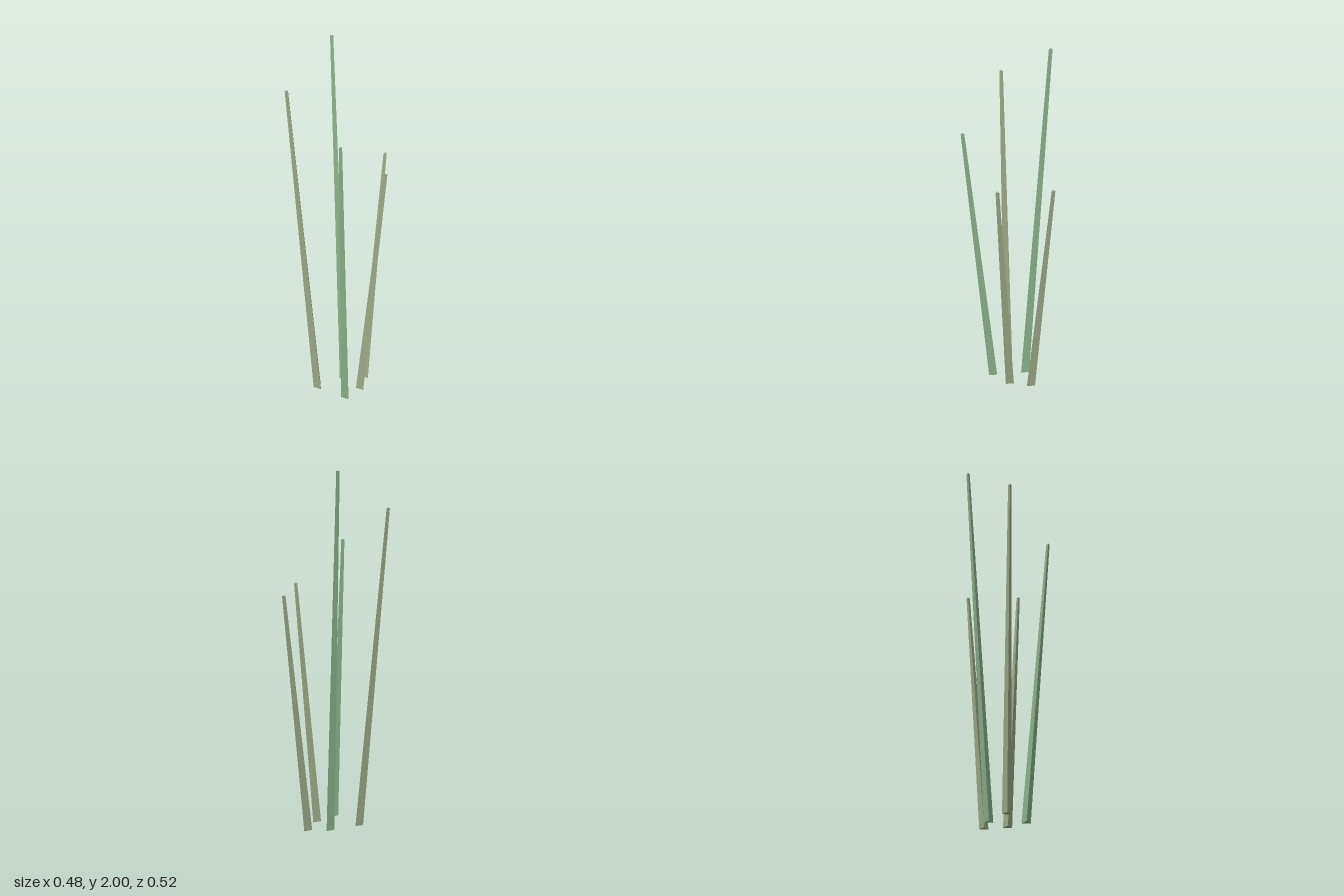
import * as THREE from 'three';

const BASE_RADIUS = 0.027;
const TIP_RADIUS = 0.0108;

const green = new THREE.MeshStandardMaterial({ color: 0x8bb08a, flatShading: true });
const olive = new THREE.MeshStandardMaterial({ color: 0x9ba887, flatShading: true });

// Tapered three-sided blade, sheared so both ends stay level while it leans outward
function makeBlade(name, material, height, [x0, z0], [x1, z1]) {
  const geometry = new THREE.CylinderGeometry(TIP_RADIUS, BASE_RADIUS, height, 3, 1, false, Math.PI);
  geometry.translate(0, height / 2, 0);
  const p = geometry.attributes.position;
  for (let i = 0; i < p.count; i++) {
    const t = p.getY(i) / height;
    p.setX(i, p.getX(i) + (x1 - x0) * t);
    p.setZ(i, p.getZ(i) + (z1 - z0) * t);
  }
  geometry.computeVertexNormals();
  const blade = new THREE.Mesh(geometry, material);
  blade.name = name;
  blade.position.set(x0, 0, z0);
  return blade;
}

export function createModel() {
  const tuft = new THREE.Group();
  tuft.name = 'grassTuft';
  // name, colour, height, base centre (x, z), tip centre (x, z)
  const blades = [
    ['leftBlade', olive, 1.355, [0.0945, 0.001], [0.2325, 0.002]],
    ['frontLeftBlade', green, 1.57, [0.0635, 0.1205], [0.1055, 0.2515]],
    ['frontRightBlade', olive, 1.785, [-0.1215, 0.1075], [-0.2335, 0.1885]],
    ['backRightBlade', green, 2.0, [-0.032, -0.04], [-0.144, -0.1205]],
    ['backLeftBlade', olive, 1.355, [0.0635, -0.1175], [0.1055, -0.249]],
  ];
  for (const b of blades) tuft.add(makeBlade(...b));
  return tuft;
}
